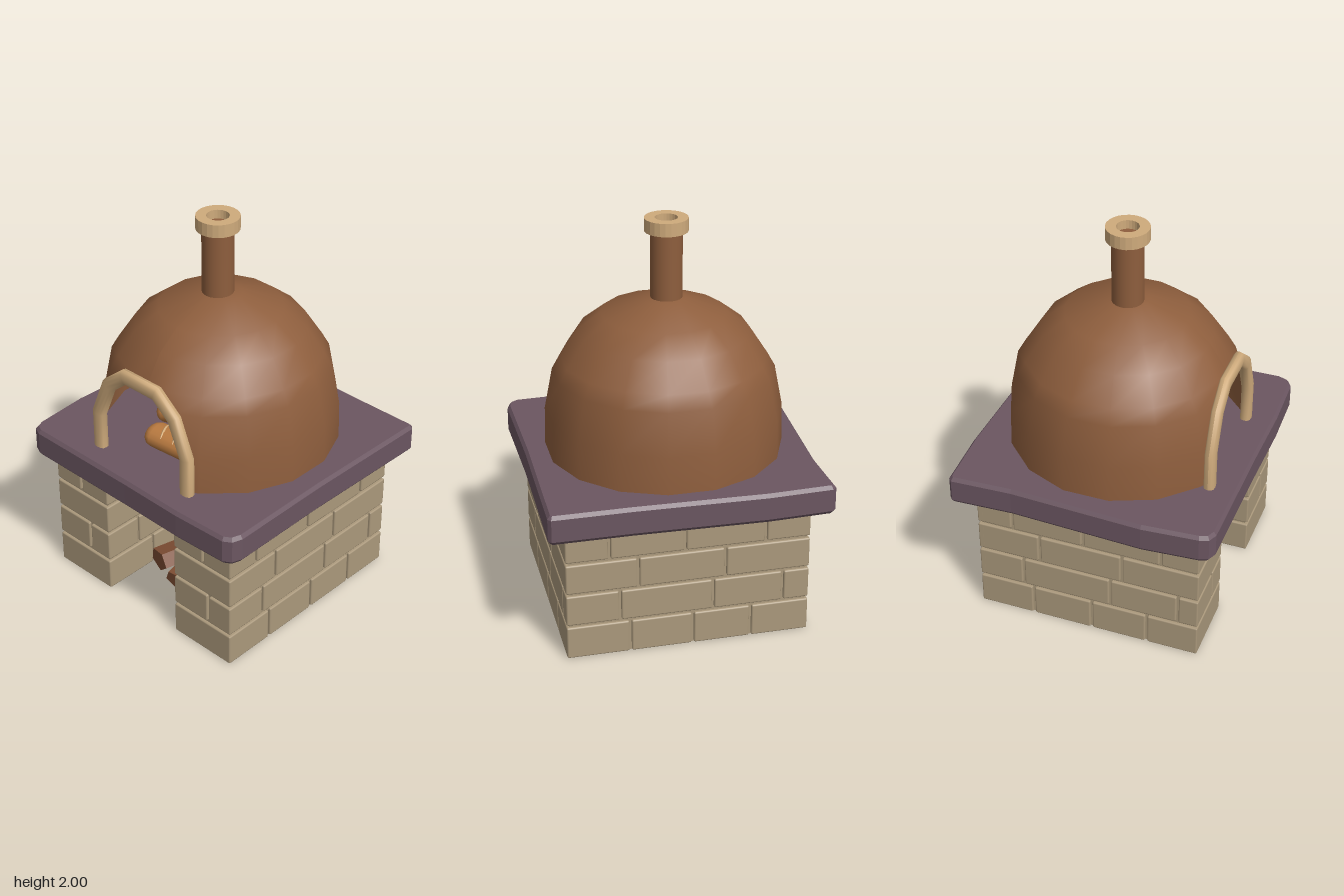
import * as THREE from 'three';
import { mergeGeometries } from 'three/addons/utils/BufferGeometryUtils.js';
import { RoundedBoxGeometry } from 'three/addons/geometries/RoundedBoxGeometry.js';

const mat = (name, color, side = THREE.FrontSide) => {
  const m = new THREE.MeshStandardMaterial({ color, side });
  m.name = name;
  return m;
};

// Closed or open grid of vertex rings joined into a smooth surface
function loft(rings) {
  const n = rings[0].length, index = [];
  for (let i = 0; i < rings.length - 1; i++)
    for (let j = 0; j < n - 1; j++) {
      const a = i * n + j, b = a + 1, c = a + n, d = c + 1;
      index.push(a, b, d, a, d, c);
    }
  const g = new THREE.BufferGeometry();
  g.setAttribute('position', new THREE.Float32BufferAttribute(rings.flat(2), 3));
  g.setIndex(index);
  g.computeVertexNormals();
  return g;
}

export function createModel() {
  const root = new THREE.Group();
  root.name = 'brickOven';
  const clay = mat('clay', 0x8e5e3d, THREE.DoubleSide);
  const stone = mat('purpleStone', 0x6b5661);
  const brick = mat('tanBrick', 0xab997c);
  const trim = mat('paleTrim', 0xcfab7c, THREE.DoubleSide);
  const wood = mat('wood', 0x7d4d33);
  const crust = mat('breadCrust', 0xb97a40);
  const crumb = mat('breadCrumb', 0xe0b782);
  const add = (name, geometry, material, parent = root) => {
    const m = new THREE.Mesh(geometry, material);
    m.name = name;
    parent.add(m);
    return m;
  };

  // U-shaped mortar core
  const box = (x0, x1, y0, y1, z0, z1) =>
    new THREE.BoxGeometry(x1 - x0, y1 - y0, z1 - z0).translate((x0 + x1) / 2, (y0 + y1) / 2, (z0 + z1) / 2);
  add('baseCore', mergeGeometries([
    box(-0.58, -0.242, 0.005, 0.7, -0.555, 0.565),
    box(0.252, 0.595, 0.005, 0.7, -0.555, 0.565),
    box(-0.242, 0.252, 0.005, 0.7, -0.555, -0.354),
  ]), brick);

  // Brick facing: each panel has four rows, split at the listed seams
  const rows = [[0.005, 0.173], [0.187, 0.345], [0.359, 0.513], [0.528, 0.692]];
  function panel(name, x, z, turn, length, seams) {
    const bricks = [];
    rows.forEach(([y0, y1], r) => {
      const cuts = [-length / 2, ...seams[r], length / 2];
      for (let i = 0; i < cuts.length - 1; i++) {
        const a = cuts[i] + (i ? 0.006 : 0);
        const b = cuts[i + 1] - (i < cuts.length - 2 ? 0.006 : 0);
        bricks.push(new RoundedBoxGeometry(b - a, y1 - y0, 0.034, 1, 0.008)
          .translate((a + b) / 2, (y0 + y1) / 2, -0.017));
      }
    });
    const m = add(name, mergeGeometries(bricks), brick);
    m.position.set(x, 0, z);
    m.rotation.y = turn;
  }
  const q = Math.PI / 2;
  const side = [[-0.29, 0.02, 0.31], [-0.34, 0.12, 0.47], [-0.25, 0.18], [-0.39, -0.02, 0.38]];
  const inner = [[-0.15, 0.2], [-0.25, 0.1], [-0.1, 0.25], [-0.2, 0.12]];
  panel('leftBricks', 0.61, 0.005, q, 1.15, side);
  panel('rightBricks', -0.595, 0.005, -q, 1.15, side);
  panel('backBricks', 0.007, -0.57, 2 * q, 1.205, side);
  panel('frontRightBricks', -0.411, 0.58, 0, 0.366, [[], [0.045], [], [-0.005]]);
  panel('frontLeftBricks', 0.424, 0.58, 0, 0.372, [[], [0.04], [], [0.01]]);
  panel('innerRightBricks', -0.228, 0.12, q, 0.92, inner);
  panel('innerLeftBricks', 0.238, 0.12, -q, 0.92, inner);
  panel('innerBackBricks', 0.005, -0.34, 0, 0.466, [[-0.05], [0.03], [0.07], [0.055]]);

  // Slightly uneven stone slab
  const outline = [[-0.685, -0.655], [-0.665, -0.672], [-0.35, -0.685], [0.3, -0.668], [0.685, -0.668],
    [0.7, -0.65], [0.69, 0.05], [0.697, 0.59], [0.68, 0.64], [0.64, 0.665], [0.35, 0.675], [0, 0.668],
    [-0.62, 0.665], [-0.665, 0.645], [-0.682, 0.6], [-0.702, 0.32], [-0.672, -0.35]];
  const slab = new THREE.Shape(outline.map(p => new THREE.Vector2(...p)));
  add('slab', new THREE.ExtrudeGeometry(slab, {
    depth: 0.114, bevelThickness: 0.018, bevelSize: 0.014, bevelOffset: -0.014, bevelSegments: 1,
  }).rotateX(q).translate(0, 0.821, 0), stone);

  // Sixteen-sided dome, sliced open at the front plane
  const cutZ = 0.505;
  const profile = [[0.59, 0.83], [0.586, 1.03], [0.545, 1.24], [0.505, 1.31], [0.42, 1.44], [0.305, 1.53], [0.105, 1.603], [0.001, 1.607]];
  const angles = [0, ...Array.from({ length: 16 }, (_, i) => (i + 0.5) * Math.PI / 8), 2 * Math.PI];
  add('dome', loft(profile.map(([r, y]) => {
    const gap = Math.acos(Math.min(1, cutZ / r));
    const ring = angles.map(a => {
      const t = Math.min(Math.max(a, gap), 2 * Math.PI - gap);
      // the closing seam lies on the flat facet when the ring is whole
      const k = gap === 0 && (a === 0 || a === 2 * Math.PI) ? Math.cos(Math.PI / 16) : 1;
      return [Math.sin(t) * r * k, y, Math.cos(t) * r * k];
    });
    return ring;
  })), clay);

  // Arched rim: rounded section swept along a mitred path
  const half = [[0.295, 0.835], [0.295, 1.035], [0.218, 1.222], [0.105, 1.314]];
  const path = [...half.map(([x, y]) => [-x, y]), ...half.slice().reverse()].map(p => new THREE.Vector2(...p));
  add('archRim', loft(path.map((p, i) => {
    const dirs = [];
    if (i > 0) dirs.push(p.clone().sub(path[i - 1]).normalize());
    if (i < path.length - 1) dirs.push(path[i + 1].clone().sub(p).normalize());
    const t = dirs.reduce((s, d) => s.add(d), new THREE.Vector2()).normalize();
    const w = 0.036 / t.dot(dirs[0]);
    const ring = [];
    for (let j = 0; j <= 12; j++) {
      const a = j / 12 * Math.PI * 2;
      const c = Math.sign(Math.cos(a)) * Math.abs(Math.cos(a)) ** 0.75;
      const s = Math.sign(Math.sin(a)) * Math.abs(Math.sin(a)) ** 0.75;
      ring.push([p.x - t.y * c * w - 0.01, p.y + t.x * c * w, 0.53 + s * 0.028]);
    }
    return ring;
  })), trim);

  // Chimney pipe and hollow collar
  const chimney = new THREE.Group();
  chimney.name = 'chimney';
  chimney.position.set(-0.015, 0, 0.005);
  root.add(chimney);
  add('pipe', new THREE.CylinderGeometry(0.078, 0.078, 0.375, 24).translate(0, 1.7675, 0), clay, chimney);
  const collar = [[0.055, 1.95], [0.055, 2], [0.106, 2], [0.106, 1.935], [0.07, 1.935]];
  const collarGeometry = new THREE.LatheGeometry(collar.map(p => new THREE.Vector2(...p)).reverse(), 24);
  const flat = collarGeometry.toNonIndexed();
  flat.computeVertexNormals();
  add('chimneyCollar', flat, trim, chimney);

  // Loaves with scored tops
  function loaf(name, position, rotation, length) {
    const g = new THREE.Group();
    g.name = name;
    g.position.set(...position);
    g.rotation.set(...rotation);
    g.scale.set(1, 1, 1.3);
    root.add(g);
    add('crust', new THREE.CapsuleGeometry(0.058, length - 0.116, 6, 16).rotateZ(q), crust, g);
    for (const x of [-0.075, 0, 0.075]) {
      const cut = new THREE.TorusGeometry(0.0565, 0.006, 5, 12, Math.PI * 0.6).rotateZ(Math.PI * 0.2);
      add('score', cut.rotateY(q + 0.45).translate(x, 0, 0), crumb, g);
    }
  }
  loaf('frontLoaf', [0.02, 0.898, 0.33], [0, 0.08, 0], 0.36);
  loaf('backLoaf', [-0.08, 0.965, 0.17], [0, 0.15, 0.3], 0.32);

  // Split logs lying in the fire space, the middle one propped up
  function log(name, from, to, w, h, roll) {
    const a = new THREE.Vector3(...from), b = new THREE.Vector3(...to);
    const g = new THREE.CylinderGeometry(0.5, 0.5, a.distanceTo(b), 5).rotateX(q).toNonIndexed();
    g.rotateZ(roll).scale(w, h, 1);
    g.computeVertexNormals();
    const m = add(name, g, wood);
    m.position.copy(a).add(b).multiplyScalar(0.5);
    m.lookAt(a);
  }
  log('rightLog', [-0.15, 0.075, 0.31], [0.0, 0.075, -0.3], 0.15, 0.12, 0.2);
  log('leftLog', [0.17, 0.075, 0.37], [0.11, 0.075, -0.3], 0.15, 0.12, 0.6);
  log('proppedLog', [0.04, 0.085, 0.38], [-0.02, 0.18, -0.2], 0.13, 0.11, 0);
  return root;
}
